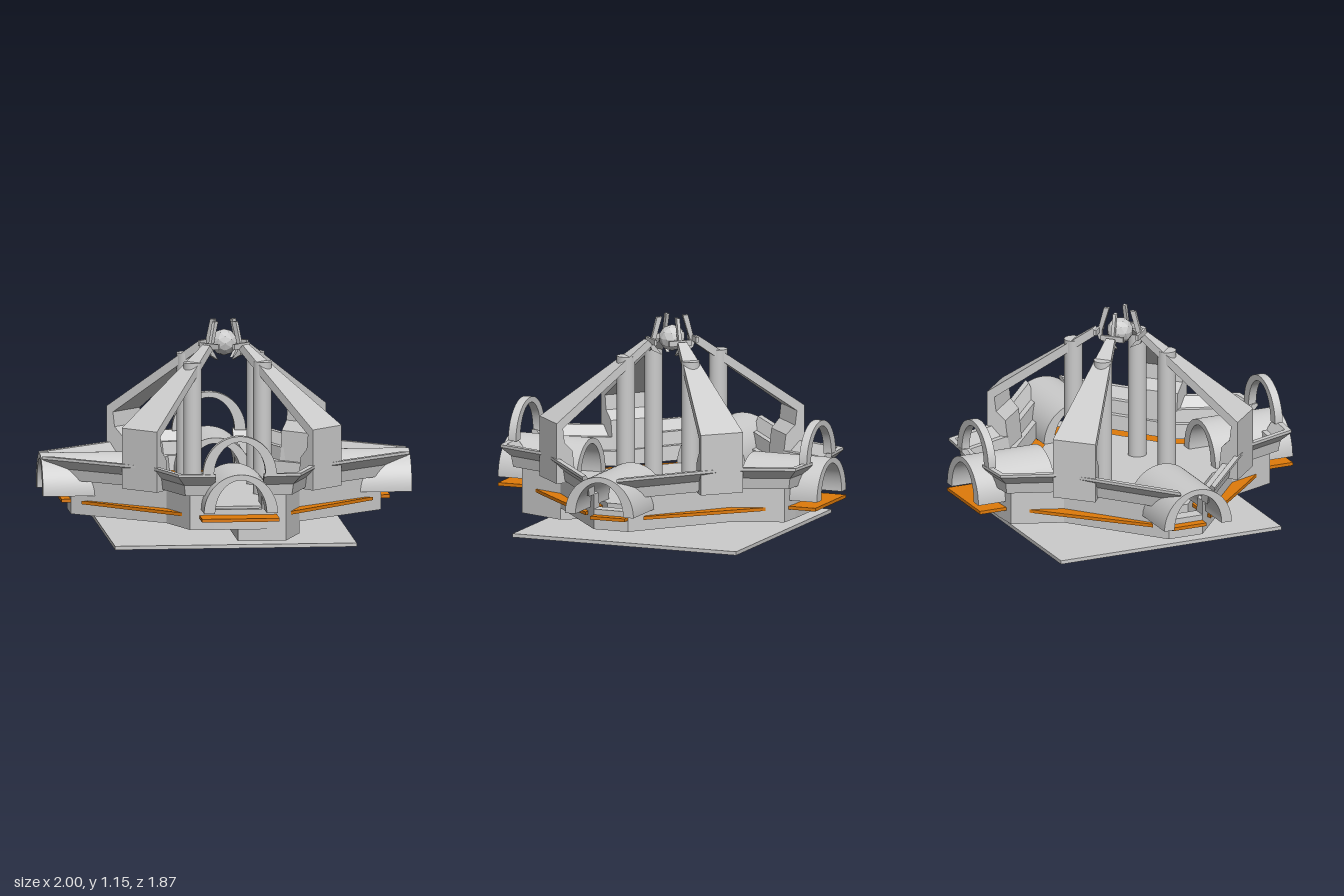
import * as THREE from 'three';
import { toCreasedNormals } from 'three/addons/utils/BufferGeometryUtils.js';

const grey = new THREE.MeshStandardMaterial({ color: 0xcccccc });
const greyBoth = new THREE.MeshStandardMaterial({ color: 0xcccccc, side: THREE.DoubleSide });
const orange = new THREE.MeshStandardMaterial({ color: 0xe07b0a });
const quadrants = [[1, 1], [-1, 1], [-1, -1], [1, -1]];

// One quarter of the star-like plan as [x, z], from the side tunnel round to the front tunnel.
const plan = [[0.84, 0.1], [0.36, 0.5], [0.26, 0.77], [0.13, 0.78]];

// Moves the quarter plan outwards by d, with mitred corners and ends kept on their axes.
function offsetPlan(d) {
  const normals = plan.slice(1).map(([x, z], i) => {
    const dx = x - plan[i][0], dz = z - plan[i][1], l = Math.hypot(dx, dz);
    return [dz / l, -dx / l];
  });
  return plan.map(([x, z], i) => {
    if (i === 0) return [x + d / normals[0][0], z];
    if (i === plan.length - 1) return [x, z + d / normals[i - 1][1]];
    const [a, b] = [normals[i - 1], normals[i]];
    const k = d / (1 + a[0] * b[0] + a[1] * b[1]);
    return [x + (a[0] + b[0]) * k, z + (a[1] + b[1]) * k];
  });
}

// Mirrors the quarter plan into a closed outline.
function outline(d) {
  return quadrants.flatMap(([sx, sz]) => {
    const pts = offsetPlan(d).map(([x, z]) => [x * sx, z * sz]);
    return sx * sz > 0 ? pts : pts.reverse();
  });
}

const toShape = (pts) => new THREE.Shape(pts.map(([x, y]) => new THREE.Vector2(x, y)));

// Upright prism over an [x, z] outline, with an optional hole.
function slab(pts, y0, y1, hole) {
  const flip = (list) => list.map(([x, z]) => [x, -z]);
  const shape = toShape(flip(pts));
  if (hole) shape.holes.push(toShape(flip(hole)));
  const g = new THREE.ExtrudeGeometry(shape, { depth: y1 - y0, bevelEnabled: false });
  return g.rotateX(-Math.PI / 2).translate(0, y0, 0);
}

// Half-round arch: thick at the feet, thinner at the crown, running along z.
function archGeometry(depth) {
  const shape = new THREE.Shape();
  shape.absellipse(0, 0, 0.2, 0.21, 0, Math.PI, false);
  shape.absellipse(0, 0, 0.14, 0.18, Math.PI, 0, true);
  shape.closePath();
  const g = new THREE.ExtrudeGeometry(shape, { depth, bevelEnabled: false, curveSegments: 20 });
  return toCreasedNormals(g, 0.6);
}

// Stepped wall: an [offset, y] section swept along one quarter of the plan.
const section = [
  [0, 0.23], [0, 0.31], [0.04, 0.31], [0.05, 0.37], [0.1, 0.42], [0.1, 0.435],
  [0.07, 0.435], [0.03, 0.38], [0, 0.38], [-0.01, 0.31], [-0.04, 0.31], [-0.05, 0.23],
];
function wallGeometry(sx, sz) {
  const rows = section.map(([d, y]) => offsetPlan(d).map(([x, z]) => [x * sx, y, z * sz]));
  const pos = [];
  const tri = (a, b, c) => (sx * sz > 0 ? pos.push(...a, ...b, ...c) : pos.push(...a, ...c, ...b));
  rows.forEach((row, i) => {
    const next = rows[(i + 1) % rows.length];
    for (let j = 0; j < plan.length - 1; j++) {
      tri(row[j], next[j], row[j + 1]);
      tri(row[j + 1], next[j], next[j + 1]);
    }
  });
  const flat = section.map(([d, y]) => new THREE.Vector2(d, y));
  for (const [a, b, c] of THREE.ShapeUtils.triangulateShape(flat, [])) {
    for (const j of [0, plan.length - 1]) tri(rows[a][j], rows[b][j], rows[c][j]);
  }
  const g = new THREE.BufferGeometry();
  g.setAttribute('position', new THREE.Float32BufferAttribute(pos, 3));
  g.computeVertexNormals();
  return g;
}

// Radial fin: an [r, y] profile whose half-width depends on r.
function finGeometry(profile, halfWidth) {
  const g = new THREE.ExtrudeGeometry(toShape(profile), { depth: 2, bevelEnabled: false });
  g.translate(0, 0, -1);
  const p = g.attributes.position;
  for (let i = 0; i < p.count; i++) p.setZ(i, p.getZ(i) * halfWidth(p.getX(i)));
  g.computeVertexNormals();
  return g;
}

export function createModel() {
  const model = new THREE.Group();
  const add = (name, geometry, material = grey, x = 0, y = 0, z = 0, turn = 0) => {
    const mesh = new THREE.Mesh(geometry, material);
    mesh.name = name;
    mesh.position.set(x, y, z);
    mesh.rotation.y = turn;
    model.add(mesh);
    return mesh;
  };

  // Ground plate, lower block and base
  add('groundPlate', new THREE.BoxGeometry(1.31, 0.02, 1.31), grey, 0, 0.01, 0);
  add('lowerBlock', slab([[0, 0], [0.36, 0.5], [0.26, 0.77], [0, 0.77]], 0.055, 0.13));
  add('baseBottom', slab(outline(-0.01), 0.12, 0.14));
  add('baseRim', slab(outline(0), 0.12, 0.23, outline(-0.05)));
  add('floor', slab(outline(-0.12), 0.13, 0.23));

  // Orange panels: bent strips at the diagonals, flat ones under the tunnel mouths
  const strip = [[0.29, 0.68], [0.42, 0.55], [0.79, 0.17], [0.57, 0.16], [0.26, 0.42], [0.17, 0.66]];
  for (const [sx, sz] of quadrants) {
    add('diagonalPanel', slab(strip.map(([x, z]) => [x * sx, z * sz]), 0.182, 0.2), orange);
  }
  for (const s of [1, -1]) {
    add('endPanel', new THREE.BoxGeometry(0.42, 0.018, 0.23), orange, 0, 0.191, s * 0.815);
    add('sidePanel', new THREE.BoxGeometry(0.15, 0.018, 0.2), orange, s * 0.815, 0.191, 0);
  }

  // Stepped walls
  for (const [sx, sz] of quadrants) add('steppedWall', wallGeometry(sx, sz), greyBoth);

  // Tunnels on all four sides, standing arches at front and back
  const tunnel = archGeometry(0.46), ring = archGeometry(0.045);
  for (let k = 0; k < 4; k++) {
    const a = k * Math.PI / 2, r = k % 2 ? 0.54 : 0.475;
    add('tunnel', tunnel, grey, Math.sin(a) * r, 0.23, Math.cos(a) * r, a);
    if (k % 2 === 0) add('standingArch', ring, grey, 0, 0.43, Math.cos(a) * 0.83, a);
  }

  // Columns, buttresses and claws on the diagonals
  const column = new THREE.CylinderGeometry(0.05, 0.05, 0.73, 24);
  const buttress = finGeometry([
    [0.72, 0.3], [0.72, 0.63], [0.15, 1.03], [0.12, 1.0], [0.3, 0.87],
    [0.68, 0.6], [0.67, 0.52], [0.62, 0.47], [0.6, 0.3],
  ], (r) => 0.17 * r);
  const claw = finGeometry([
    [0.06, 1.15], [0.09, 1.15], [0.13, 1.0], [0.12, 0.97], [0.06, 0.94], [0.1, 0.99], [0.1, 1.02],
  ], () => 0.009);
  const crossPlate = new THREE.BoxGeometry(0.014, 0.03, 0.13);
  for (let k = 0; k < 4; k++) {
    const a = Math.PI / 4 + k * Math.PI / 2;
    const c = Math.cos(a), s = -Math.sin(a);
    add('column', column, grey, c * 0.268, 0.585, s * 0.268);
    add('buttress', buttress, grey, 0, 0, 0, a);
    add('claw', claw, grey, 0, 0, 0, a);
    add('clawPlate', crossPlate, grey, c * 0.12, 1.02, s * 0.12, a);
  }

  // Faceted orb held by the claws
  add('orb', new THREE.IcosahedronGeometry(0.072, 1), new THREE.MeshStandardMaterial({ color: 0xcccccc, flatShading: true }), 0, 1.03, 0);

  return model;
}
